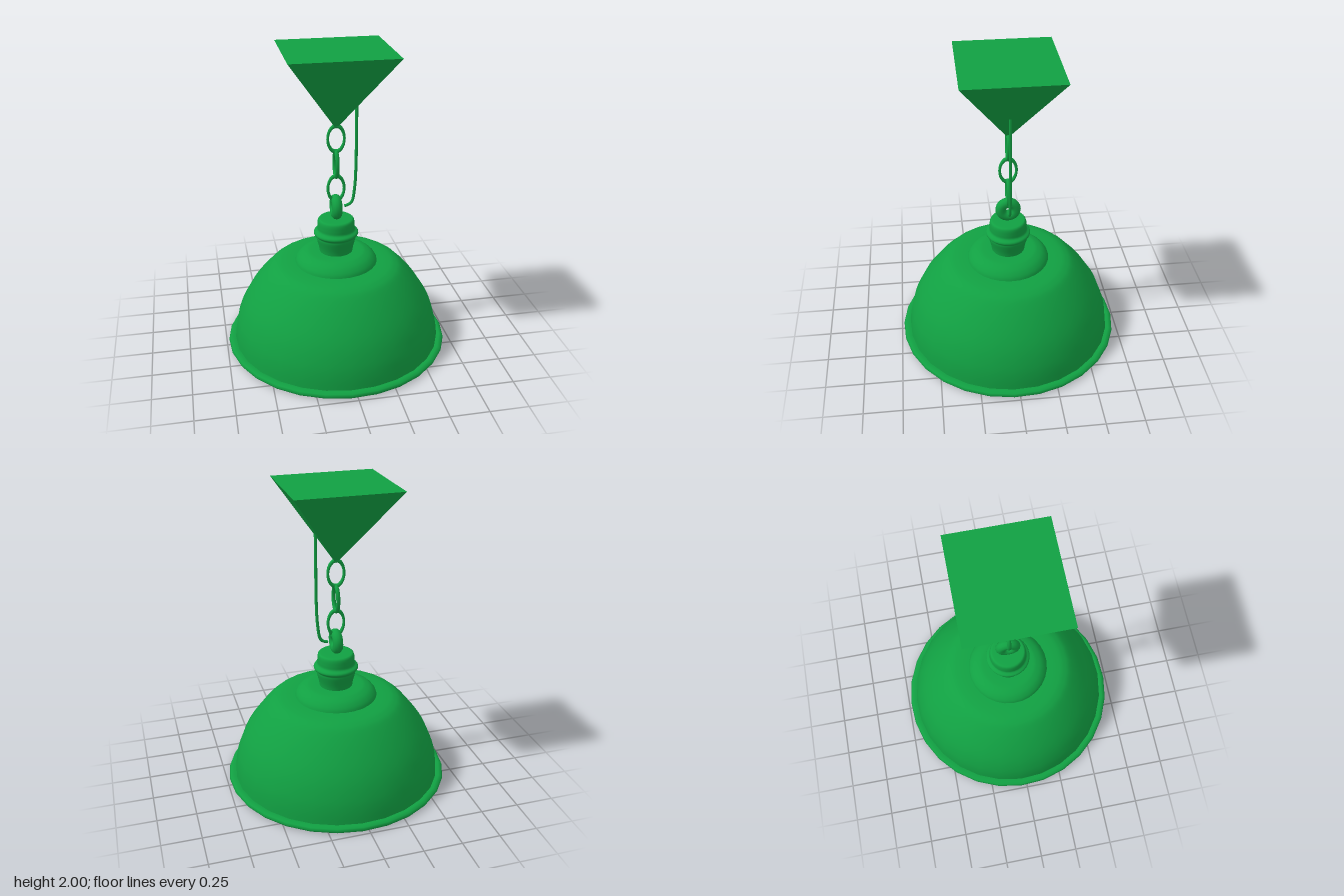
import * as THREE from 'three';

const SEGMENTS = 28;
const TURN = -0.054;

export function createModel() {
  const group = new THREE.Group();
  const green = new THREE.MeshStandardMaterial({ color: 0x11a042 });
  const greenDouble = new THREE.MeshStandardMaterial({ color: 0x11a042, side: THREE.DoubleSide });
  const greenFlat = new THREE.MeshStandardMaterial({ color: 0x11a042, flatShading: true });
  const red = new THREE.MeshStandardMaterial({ color: 0xb01212 });

  const add = (name, geometry, material = green) => {
    const mesh = new THREE.Mesh(geometry, material);
    mesh.name = name;
    group.add(mesh);
    return mesh;
  };
  const points = (list) => list.map(([x, y]) => new THREE.Vector2(x, y));
  const lathe = (list) => new THREE.LatheGeometry(points(list), SEGMENTS, TURN);
  const smoothLathe = (list, steps) =>
    new THREE.LatheGeometry(new THREE.SplineCurve(points(list)).getPoints(steps), SEGMENTS, TURN);

  // Ceiling mount: inverted rectangular pyramid
  const mount = new THREE.ConeGeometry(Math.SQRT2, 0.5, 4, 1, false, Math.PI / 4);
  mount.scale(0.333, 1, 0.305);
  mount.rotateX(Math.PI);
  mount.translate(0, 1.75, 0);
  add('ceilingMount', mount, greenFlat);

  // Chain: three oval links, each a quarter turn from the next
  [1.435, 1.265, 1.1].forEach((y, i) => {
    const link = new THREE.TorusGeometry(0.053, 0.009, 8, 28);
    link.scale(1, 1.6, 1.5);
    const mesh = add('chainLink', link);
    mesh.position.y = y;
    mesh.rotation.y = (i % 2) * Math.PI / 2;
  });

  // Eyelet on top of the socket
  const eyelet = add('eyelet', new THREE.TorusGeometry(0.049, 0.034, 12, 28));
  eyelet.position.y = 0.97;
  eyelet.rotation.y = Math.PI / 2;

  // Power cord hanging beside the chain
  const cord = new THREE.CatmullRomCurve3([
    [0.13, 1.7], [0.13, 1.45], [0.129, 1.25], [0.122, 1.1], [0.105, 1.0], [0.085, 0.98], [0.055, 0.972],
  ].map(([x, y]) => new THREE.Vector3(x, y, 0)));
  add('cord', new THREE.TubeGeometry(cord, 40, 0.01, 8), greenDouble);

  // Socket with a bulging ring
  add('socket', smoothLathe([
    [0.108, 0.65], [0.113, 0.69], [0.128, 0.75], [0.13, 0.77], [0.145, 0.785], [0.143, 0.8],
    [0.124, 0.815], [0.122, 0.84], [0.12, 0.87], [0.112, 0.888], [0.09, 0.892], [0.001, 0.892],
  ], 44));

  // Stepped collar between socket and shade
  add('collar', smoothLathe([
    [0.272, 0.585], [0.262, 0.61], [0.235, 0.638], [0.2, 0.655], [0.17, 0.661], [0.1, 0.662],
  ], 16));

  // Dome shade, open below
  add('shade', smoothLathe([
    [0.69, 0.03], [0.682, 0.11], [0.665, 0.19], [0.63, 0.285], [0.58, 0.375], [0.51, 0.47],
    [0.44, 0.545], [0.395, 0.572], [0.35, 0.583], [0.27, 0.588], [0.1, 0.588], [0.001, 0.588],
  ], 44), greenDouble);

  // Rolled rim
  add('rim', lathe([
    [0.685, 0.035], [0.675, 0.018], [0.685, 0.003], [0.71, 0], [0.728, 0.006],
    [0.736, 0.02], [0.728, 0.034], [0.71, 0.04], [0.685, 0.035],
  ]), greenDouble);

  // Bulb and its stem
  add('bulb', new THREE.SphereGeometry(0.148, 32, 20), red).position.y = 0.31;
  add('bulbStem', new THREE.CylinderGeometry(0.06, 0.06, 0.18, 20), red).position.y = 0.5;

  return group;
}
